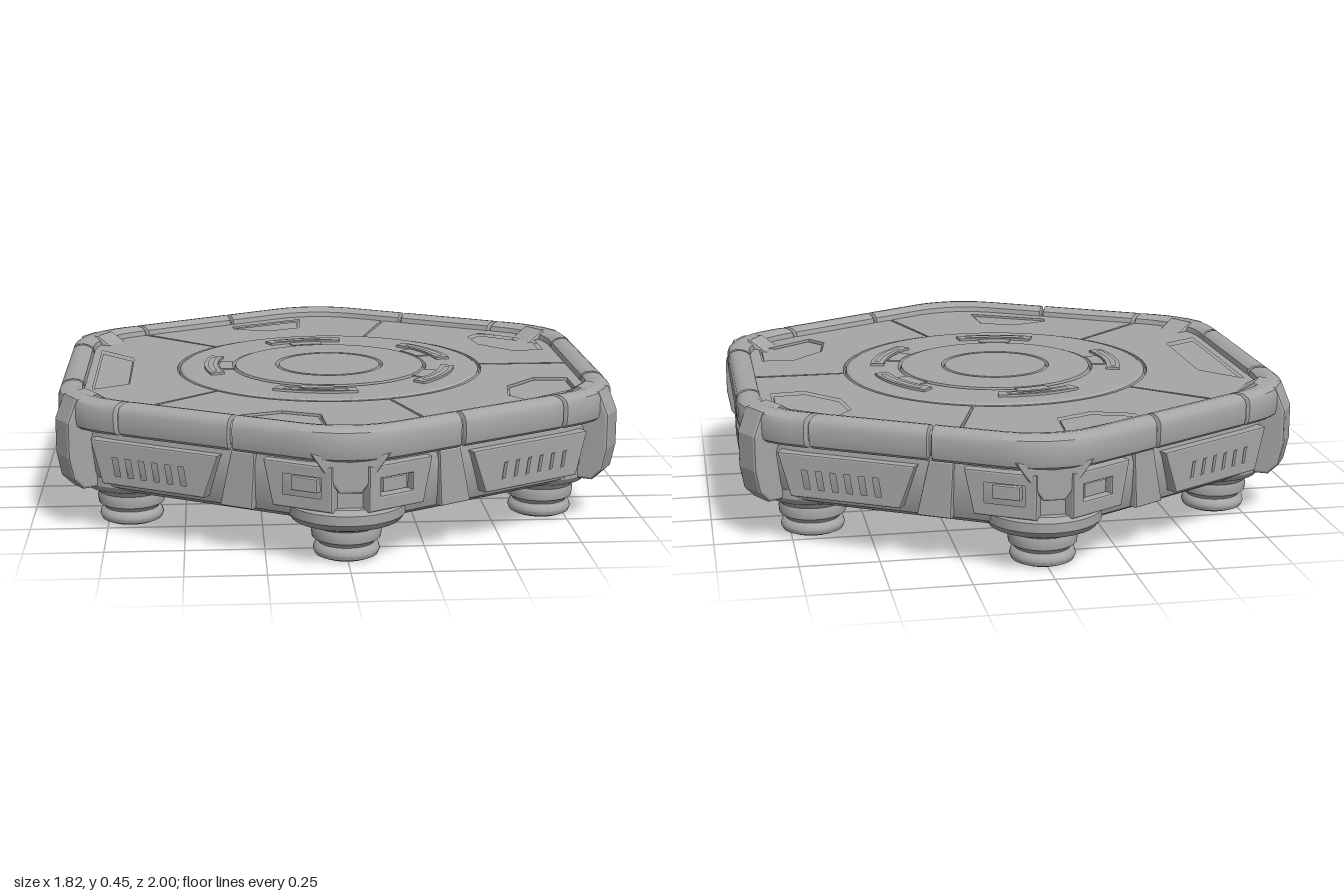
import * as THREE from 'three';
import { toCreasedNormals } from 'three/addons/utils/BufferGeometryUtils.js';

const RAD = Math.PI / 180;
const grey = new THREE.MeshStandardMaterial({ color: 0xa6a6a6 });
grey.name = 'plain grey';

// Distance from the centre to a rounded hexagon of apothem a at an angle (degrees)
function hexRadius(deg, a, round = 0.29) {
  const r = Math.min(round, a * 0.9);
  const phi = Math.abs(((deg % 60) + 90) % 60 - 30) * RAD;
  const c = (a - r) / Math.cos(30 * RAD);
  if (a * Math.tan(phi) <= (a - r) * Math.tan(30 * RAD)) return a / Math.cos(phi);
  const d = 30 * RAD - phi;
  return c * Math.cos(d) + Math.sqrt(r * r - (c * Math.sin(d)) ** 2);
}

// Sweep an [apothem, y] profile round the hexagon; seams pinch it towards its middle
function hexLoft(profile, closed, seams = [], mid = [0, 0]) {
  const stops = [];
  for (let d = 0; d < 360; d += 3) if (!seams.some(s => Math.abs(s - d) < 0.8)) stops.push([d, 1]);
  for (const s of seams) stops.push([s - 0.5, 1], [s - 0.2, 0.72], [s + 0.2, 0.72], [s + 0.5, 1]);
  stops.sort((p, q) => p[0] - q[0]);
  const pos = [], idx = [], n = profile.length, m = stops.length;
  for (const [d, k] of stops) for (const [a, y] of profile) {
    const r = hexRadius(d, mid[0] + (a - mid[0]) * k);
    pos.push(r * Math.cos(d * RAD), mid[1] + (y - mid[1]) * k, r * Math.sin(d * RAD));
  }
  for (let i = 0; i < m; i++) for (let j = 0; j < (closed ? n : n - 1); j++) {
    const a = i * n + j, b = i * n + (j + 1) % n;
    const c = ((i + 1) % m) * n + j, e = ((i + 1) % m) * n + (j + 1) % n;
    idx.push(a, b, c, b, e, c);
  }
  const g = new THREE.BufferGeometry();
  g.setAttribute('position', new THREE.Float32BufferAttribute(pos, 3));
  g.setIndex(idx);
  return toCreasedNormals(g, 0.6);
}

const poly = pts => pts.map(([x, y]) => new THREE.Vector2(x, y));

function extrude(outline, holes, depth, bevel = 0) {
  const shape = new THREE.Shape(poly(outline));
  for (const h of holes) shape.holes.push(new THREE.Path(poly(h)));
  return new THREE.ExtrudeGeometry(shape, {
    depth, bevelEnabled: bevel > 0, bevelSize: bevel, bevelThickness: bevel, bevelSegments: 2,
  });
}

// Flat slab lying in x/z, rising from height y
function slab(outline, holes, y, depth, bevel) {
  const flip = p => p.map(([x, z]) => [x, -z]);
  return extrude(flip(outline), holes.map(flip), depth, bevel).rotateX(-Math.PI / 2).translate(0, y, 0);
}

const rect = (x0, x1, y0, y1, lean = 0) => [[x0, y0], [x1, y0], [x1 + lean, y1], [x0 + lean, y1]];

// Outline of a ring sector
function sector(r0, r1, d0, d1) {
  const out = [], back = [], n = 10;
  for (let i = 0; i <= n; i++) {
    const t = (d0 + (d1 - d0) * i / n) * RAD;
    out.push([r1 * Math.cos(t), r1 * Math.sin(t)]);
    back.unshift([r0 * Math.cos(t), r0 * Math.sin(t)]);
  }
  return out.concat(back);
}

export function createModel() {
  const model = new THREE.Group();
  model.name = 'hexagonalPlatform';
  const add = (name, geometry, parent = model) => {
    const mesh = new THREE.Mesh(geometry, grey);
    mesh.name = name;
    parent.add(mesh);
    return mesh;
  };
  // Group whose local +z points outwards at an angle
  const outward = (name, deg) => {
    const g = new THREE.Group();
    g.name = name;
    g.rotation.y = Math.PI / 2 - deg * RAD;
    model.add(g);
    return g;
  };

  // Hull and the rim with its seams
  add('hull', hexLoft([[0.3, 0.13], [0.8, 0.13], [0.835, 0.15], [0.85, 0.19], [0.862, 0.3],
    [0.845, 0.36], [0.845, 0.4], [0.3, 0.4]], false));
  const seams = [18, 42, 67, 113, 138, 162, 198, 222, 247, 293, 318, 342];
  add('rim', hexLoft([[0.82, 0.36], [0.89, 0.34], [0.902, 0.35], [0.906, 0.37], [0.906, 0.415], [0.9, 0.432],
    [0.885, 0.443], [0.865, 0.446], [0.845, 0.442], [0.83, 0.432], [0.822, 0.4]], true, seams, [0.864, 0.393]));

  // Deck segments, each with a sunken plate
  const plates = [
    [[0.79, 0.23], [0.68, 0.22], [0.57, 0.34], [0.55, 0.47], [0.6, 0.535], [0.79, 0.39]],
    [[-0.06, 0.85], [-0.07, 0.69], [-0.19, 0.635], [-0.32, 0.68], [-0.325, 0.715]],
    [[-0.8, -0.31], [-0.68, -0.17], [-0.68, 0.23], [-0.8, 0.3]],
  ];
  for (const i of [1, 0]) plates.push(plates[i].map(([x, z]) => [x, -z]));
  const cuts = [0, 72, 138, 222, 288, 360];
  plates.forEach((plate, i) => {
    const outline = [], n = 24, d0 = cuts[i] + 0.4, d1 = cuts[i + 1] - 0.4;
    for (let j = 0; j <= n; j++) {
      const d = d0 + (d1 - d0) * j / n, r = hexRadius(d, 0.83);
      outline.push([r * Math.cos(d * RAD), r * Math.sin(d * RAD)]);
    }
    for (let j = n; j >= 0; j--) {
      const d = (d0 + (d1 - d0) * j / n) * RAD;
      outline.push([0.525 * Math.cos(d), 0.525 * Math.sin(d)]);
    }
    add('deckSegment', slab(outline, [plate], 0.395, 0.02));
    const cx = plate.reduce((s, p) => s + p[0], 0) / plate.length;
    const cz = plate.reduce((s, p) => s + p[1], 0) / plate.length;
    const inner = plate.map(([x, z]) => [cx + (x - cx) * 0.93, cz + (z - cz) * 0.93]);
    add('deckPlate', slab(inner, [], 0.395, 0.013));
  });

  // Central disc with ring grooves on both sides
  const under = [[0, 0.12], [0.175, 0.12], [0.18, 0.128], [0.185, 0.12], [0.325, 0.12], [0.33, 0.128],
    [0.335, 0.122], [0.5, 0.122], [0.515, 0.135]];
  const over = [[0.52, 0.4], [0.515, 0.415], [0.505, 0.42], [0.336, 0.42], [0.33, 0.408], [0.324, 0.424],
    [0.186, 0.424], [0.18, 0.412], [0.174, 0.424], [0, 0.424]];
  add('centralDisc', toCreasedNormals(new THREE.LatheGeometry(poly(under.concat(over)), 64), 0.4));

  // Curved slot frames in the disc, above and below
  for (const d of [28, 100, 180, 260, 332]) {
    const hole = sector(0.402, 0.418, d - 15, d + 15);
    const frame = sector(0.385, 0.432, d - 19, d + 19);
    add('slotFrame', slab(frame, [hole], 0.415, 0.013));
    add('slotBlock', slab(sector(0.335, 0.38, d - 9, d + 9), [], 0.415, 0.009));
    add('lowerSlotFrame', slab(frame, [hole], 0.112, 0.015));
  }

  // Feet under every corner
  const foot = poly([[0, 0], [0.08, 0], [0.098, 0.008], [0.104, 0.022], [0.1, 0.036], [0.088, 0.045], [0.092, 0.052],
    [0.107, 0.062], [0.11, 0.085], [0.106, 0.1], [0.122, 0.115], [0.128, 0.14]]);
  const housing = poly([[0, 0.11], [0.13, 0.11], [0.17, 0.125], [0.185, 0.145], [0.185, 0.175], [0.17, 0.19], [0, 0.2]]);
  for (let i = 0; i < 6; i++) {
    const deg = 30 + 60 * i, pointed = i % 3 === 1;
    const corner = outward('corner', deg);
    const r = pointed ? 0.81 : 0.78;
    add('foot', toCreasedNormals(new THREE.LatheGeometry(foot, 32), 0.7), corner).position.z = r;
    const base = add('footHousing', toCreasedNormals(new THREE.LatheGeometry(housing, 32), 0.6), corner);
    base.position.z = r;
    if (pointed) {
      // Wedge hanging below the rim at the front and back points
      add('cornerWedge', extrude([[-0.11, 0.36], [-0.03, 0.25], [0.03, 0.25], [0.11, 0.36]], [], 0.1, 0.008), corner)
        .position.z = 0.875;
      add('cornerPost', extrude(rect(-0.04, 0.04, 0.18, 0.27), [], 0.08, 0.008), corner).position.z = 0.87;
    } else {
      base.scale.set(0.85, 1, 0.85);
      // Clamp gripping the side corner, extruded sideways from its profile
      const side = [[0.86, 0.15], [0.97, 0.15], [1.0, 0.18], [1.015, 0.25], [1.015, 0.36], [0.985, 0.43], [0.92, 0.438], [0.86, 0.4]];
      add('clamp', extrude(side, [], 0.08, 0.01).rotateY(-Math.PI / 2).translate(0.04, 0, 0), corner);
    }
  }

  // Side walls facing left and right: framed window and paired slots
  for (const deg of [0, 180]) {
    const wall = outward('sideWall', deg);
    add('windowPanel', extrude([[-0.22, 0.16], [0.22, 0.16], [0.27, 0.31], [-0.27, 0.31]],
      [[[-0.13, 0.2], [0.13, 0.2], [0.16, 0.275], [-0.16, 0.275]]], 0.04, 0.006), wall).position.z = 0.845;
    add('windowInset', extrude(rect(-0.11, 0.11, 0.215, 0.255), [], 0.025, 0.004), wall).position.z = 0.845;
    for (const m of [1, -1]) {
      const outline = [[0.25, 0.17], [0.41, 0.17], [0.42, 0.31], [0.3, 0.31]];
      const slots = [0, 1].map(k => rect(0.3 + k * 0.045, 0.32 + k * 0.045, 0.21, 0.265, 0.015));
      const flip = p => p.map(([x, y]) => [x * m, y]);
      add('slotPanel', extrude(flip(outline), slots.map(flip), 0.025, 0.005), wall).position.z = 0.845;
    }
  }

  // Slanting walls: vent panel near the clamp, small window near the point
  for (const [deg, m] of [[60, 1], [120, -1], [240, 1], [300, -1]]) {
    const wall = outward('slantingWall', deg);
    const flip = p => p.map(([x, y]) => [x * m, y]);
    const vents = [0, 1, 2, 3, 4, 5].map(k => flip(rect(0.055 + k * 0.048, 0.075 + k * 0.048, 0.205, 0.265, 0.01)));
    add('ventPanel', extrude(flip([[0, 0.18], [0.36, 0.18], [0.4, 0.31], [-0.05, 0.31]]), vents, 0.035, 0.006), wall)
      .position.z = 0.845;
    add('windowFrame', extrude(flip([[-0.44, 0.19], [-0.25, 0.19], [-0.22, 0.32], [-0.44, 0.32]]),
      [flip(rect(-0.41, -0.28, 0.225, 0.29))], 0.035, 0.006), wall).position.z = 0.845;
    add('smallInset', extrude(flip(rect(-0.385, -0.305, 0.24, 0.275)), [], 0.025, 0.004), wall).position.z = 0.845;
    add('wallStrut', extrude(flip([[-0.16, 0.16], [-0.06, 0.16], [-0.1, 0.33], [-0.17, 0.33]]), [], 0.02, 0.006), wall)
      .position.z = 0.845;
  }
  return model;
}
